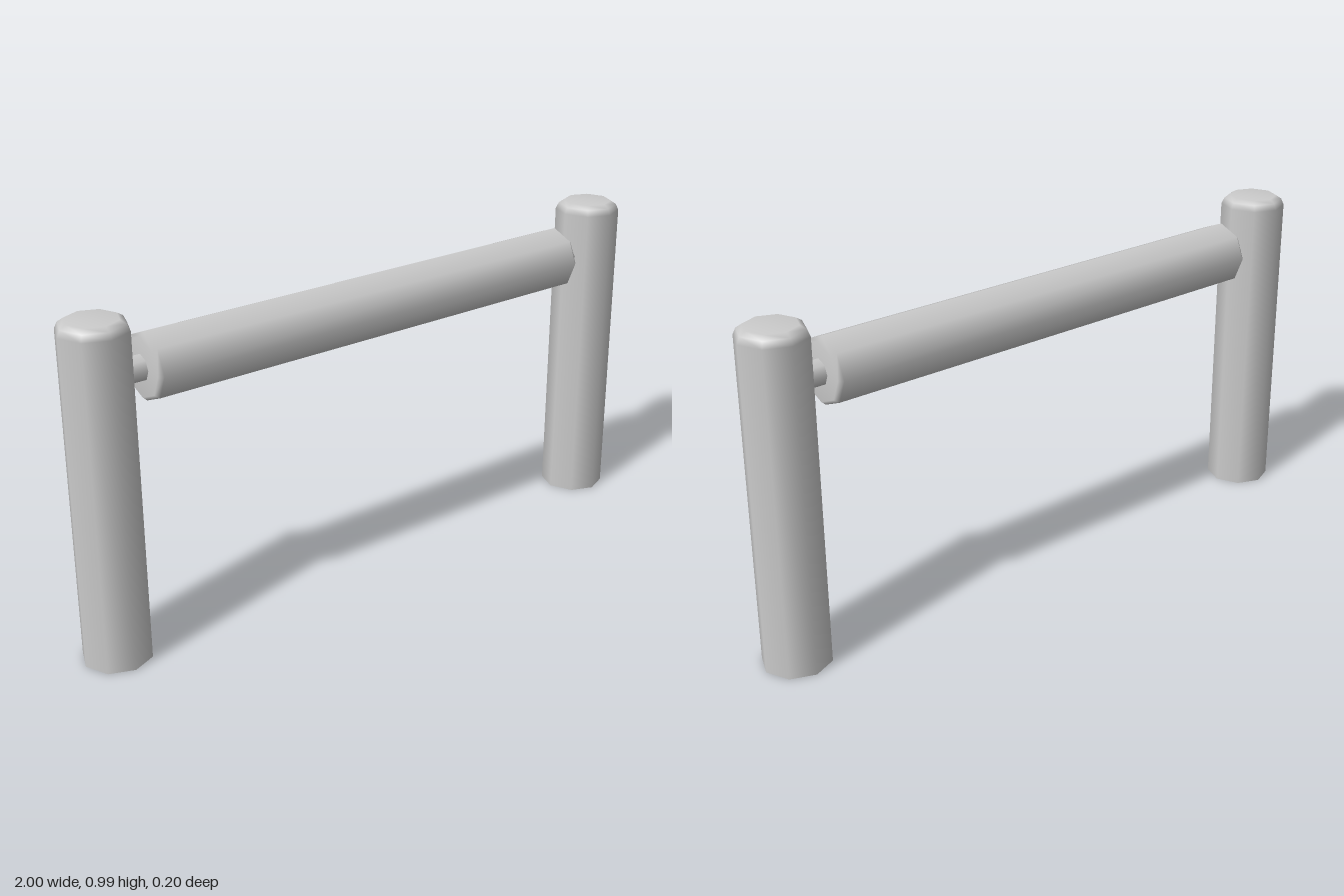
import * as THREE from 'three';

const SIDES = 8;
const material = new THREE.MeshStandardMaterial({ color: 0xcccccc, side: THREE.DoubleSide });

// Turned eight-sided part from [radius, height] pairs, bottom to top
function turned(name, profile) {
  const points = profile.map(([r, y]) => new THREE.Vector2(r, y));
  const mesh = new THREE.Mesh(new THREE.LatheGeometry(points, SIDES), material);
  mesh.name = name;
  return mesh;
}

export function createModel() {
  const group = new THREE.Group();
  group.name = 'barrier';
  const beamY = 0.828;

  // Crossbeam with softened ends
  const beam = turned('crossbeam', [
    [0, -0.768], [0.086, -0.768], [0.0975, -0.755],
    [0.0975, 0.755], [0.086, 0.768], [0, 0.768],
  ]);
  beam.rotation.z = -Math.PI / 2;
  beam.position.y = beamY;
  group.add(beam);

  for (const [side, label] of [[1, 'left'], [-1, 'right']]) {
    // Upright post, open underneath, with a rounded top
    const post = turned(label + 'Post', [
      [0.1, 0], [0.1, 0.963], [0.091, 0.982], [0.074, 0.993], [0, 0.993],
    ]);
    post.position.x = side * 0.9;
    group.add(post);

    // Short peg joining beam and post
    const peg = new THREE.Mesh(
      new THREE.CylinderGeometry(0.038, 0.038, 0.08, SIDES, 1, true), material);
    peg.name = label + 'Peg';
    peg.rotation.z = -Math.PI / 2;
    peg.position.set(side * 0.79, beamY, 0);
    group.add(peg);
  }
  return group;
}
